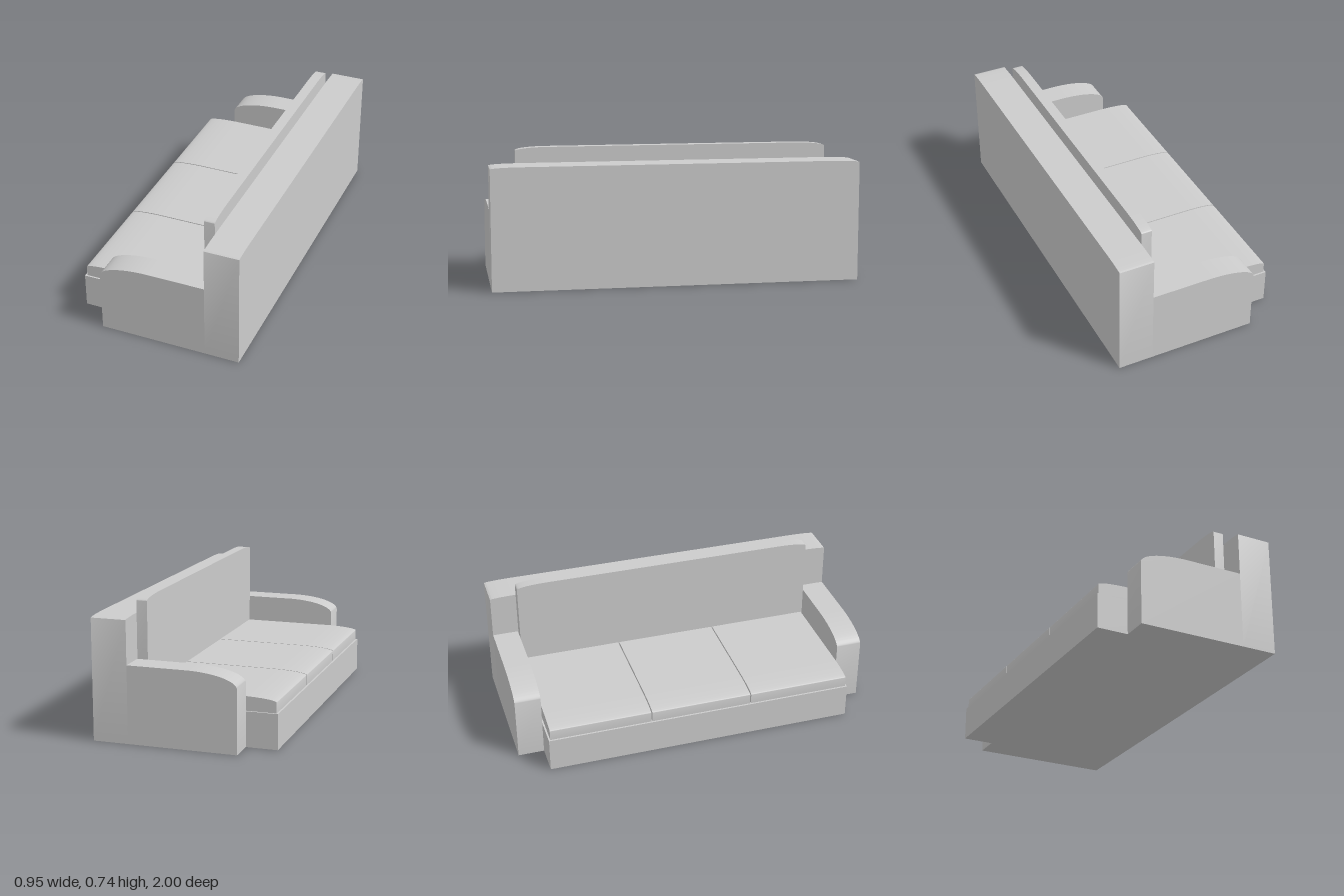
import * as THREE from 'three';
import { toCreasedNormals } from 'three/addons/utils/BufferGeometryUtils.js';

const material = new THREE.MeshStandardMaterial({ color: 0xcccccc });

// Rectangle whose upper corners are softened by quarter ellipses (rx wide, ry tall)
function softTopShape(x0, x1, y0, y1, rx, ry, bothCorners) {
  const s = new THREE.Shape();
  s.moveTo(x0, y0);
  s.lineTo(x1, y0);
  if (bothCorners) {
    s.lineTo(x1, y1 - ry);
    s.absellipse(x1 - rx, y1 - ry, rx, ry, 0, Math.PI / 2, false, 0);
  } else {
    s.lineTo(x1, y1);
  }
  s.lineTo(x0 + rx, y1);
  s.absellipse(x0 + rx, y1 - ry, rx, ry, Math.PI / 2, Math.PI, false, 0);
  s.closePath();
  return s;
}

function addMesh(group, name, geometry) {
  const mesh = new THREE.Mesh(geometry, material);
  mesh.name = name;
  group.add(mesh);
  return mesh;
}

function extrude(shape, depth) {
  const g = new THREE.ExtrudeGeometry(shape, { depth, bevelEnabled: false, curveSegments: 14 });
  return toCreasedNormals(g, 0.5);
}

// Side profile (x, y) swept along z
function addAlongZ(group, name, shape, z0, z1) {
  addMesh(group, name, extrude(shape, z1 - z0)).position.z = z0;
}

// Symmetric lengthwise profile (z, y) swept along x
function addAlongX(group, name, shape, x0, x1) {
  const g = extrude(shape, x1 - x0).rotateY(Math.PI / 2);
  addMesh(group, name, g).position.x = x0;
}

export function createModel() {
  const sofa = new THREE.Group();
  sofa.name = 'sofa';

  // Tall backrest spanning the full length, with gently eased ends
  addAlongX(sofa, 'backrest', softTopShape(-1, 1, 0, 0.66, 0.16, 0.009, true), 0.284, 0.475);

  // Thin back cushion standing between the arms
  addAlongX(sofa, 'backCushion', softTopShape(-0.855, 0.855, 0.19, 0.744, 0.17, 0.02, true), 0.226, 0.284);

  // Arms with a rounded front
  const arm = softTopShape(-0.305, 0.284, 0, 0.417, 0.275, 0.077, false);
  addAlongZ(sofa, 'leftArm', arm, -1, -0.858);
  addAlongZ(sofa, 'rightArm', arm, 0.858, 1);

  // Seat base
  const base = addMesh(sofa, 'seatBase', new THREE.BoxGeometry(0.759, 0.19, 1.716));
  base.position.set(-0.0955, 0.095, 0);

  // Three seat cushions with narrow seams
  const seat = softTopShape(-0.465, 0.226, 0.19, 0.267, 0.19, 0.021, false);
  const pitch = 0.568, half = 0.281;
  for (let i = -1; i <= 1; i++) {
    addAlongZ(sofa, 'seatCushion' + (i + 2), seat, i * pitch - half, i * pitch + half);
  }
  return sofa;
}
